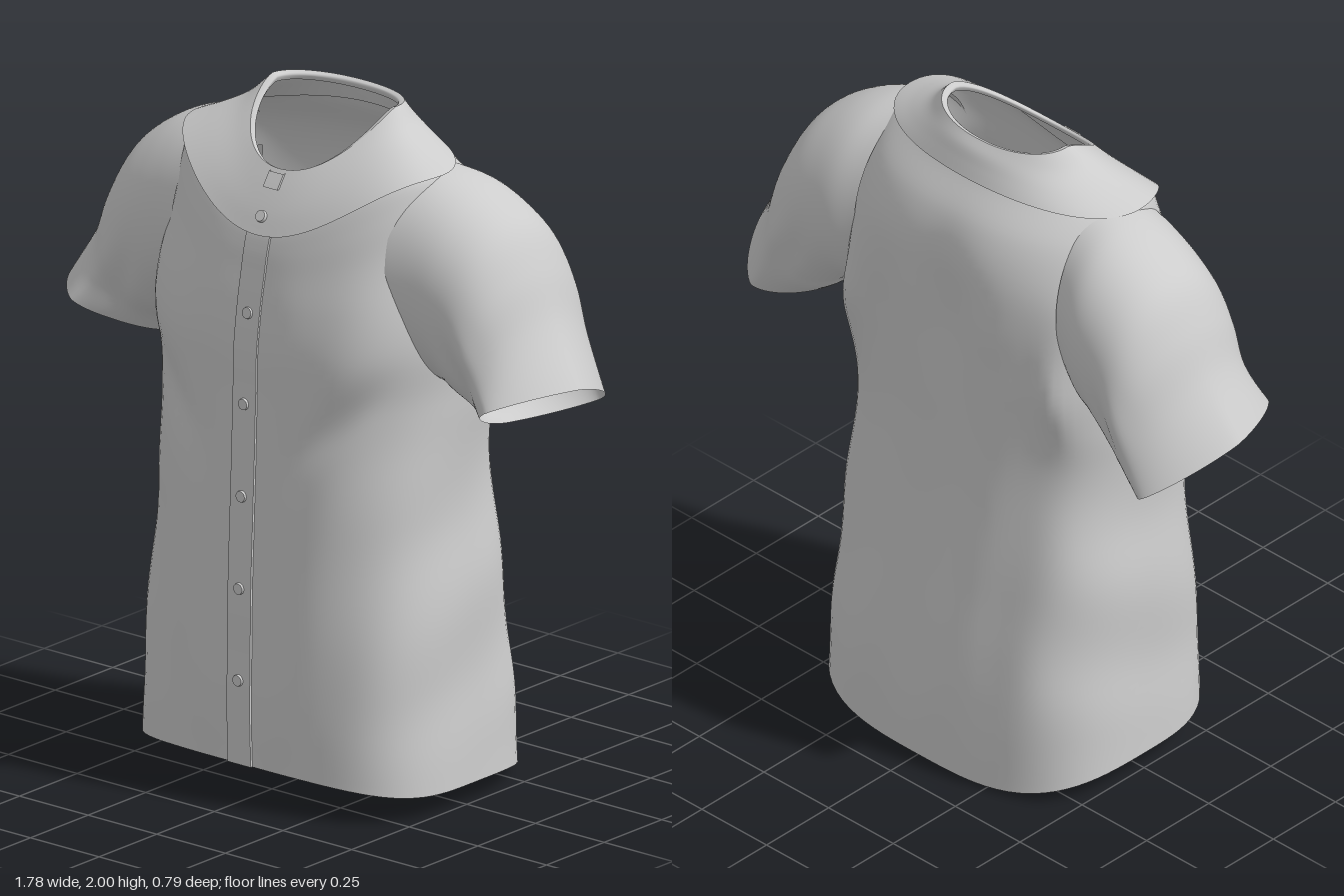
import * as THREE from 'three';

const SEG = 96;

// Torso-style ring: heights at front / side / back, half width, front and back depth,
// z of the widest point, roundness exponent n and height falloff p.
function ring([yF, yS, yB, w, zF, zB, zc = 0, n = 2.6, p = 3]) {
  const pts = [];
  for (let i = 0; i < SEG; i++) {
    const a = (i / SEG) * Math.PI * 2, s = Math.sin(a), c = Math.cos(a);
    const r = 1 / Math.pow(Math.abs(s) ** n + Math.abs(c) ** n, 1 / n);
    const k = Math.min(1, Math.abs(c * r)) ** p;
    pts.push(new THREE.Vector3(
      w * r * s,
      yS + ((c > 0 ? yF : yB) - yS) * k,
      zc + (c > 0 ? zF - zc : zc - zB) * r * c));
  }
  return pts;
}

// Smooth open-ended skin through a list of closed rings.
function loft(rings, sub, { bend = null, skip = null } = {}) {
  const rows = (rings.length - 1) * sub, pos = [], idx = [], v = [];
  const curves = rings[0].map((_, i) => new THREE.CatmullRomCurve3(rings.map(r => r[i])));
  for (let j = 0; j <= rows; j++) {
    for (const curve of curves) {
      const q = curve.getPoint(j / rows);
      if (bend) bend(q);
      v.push(q);
      pos.push(q.x, q.y, q.z);
    }
  }
  for (let j = 0; j < rows; j++) {
    for (let i = 0; i < SEG; i++) {
      const a = j * SEG + i, b = j * SEG + (i + 1) % SEG, c = a + SEG, d = b + SEG;
      if (skip && skip(v[a].clone().add(v[d]).multiplyScalar(0.5))) continue;
      idx.push(a, b, d, a, d, c);
    }
  }
  const g = new THREE.BufferGeometry();
  g.setAttribute('position', new THREE.Float32BufferAttribute(pos, 3));
  g.setIndex(idx);
  g.computeVertexNormals();
  return g;
}

const bump = (v, centre, width) => Math.exp(-(((v - centre) / width) ** 2));

// Soft cloth shape: spine and breastbone hollows, armhole folds and gentle hanging folds.
function drape(q) {
  const { x, y, z } = q, ax = Math.abs(x);
  const low = THREE.MathUtils.smoothstep(y, 0.05, 0.4) * (1 - THREE.MathUtils.smoothstep(y, 1.45, 1.7));
  if (z < 0) {
    const f = Math.min(1, -z / 0.2);
    q.z += 0.03 * bump(x, 0, 0.1) * bump(y, 1.5, 0.22);
    q.z -= 0.04 * f * bump(ax, 0.4, 0.06) * bump(y, 1.33, 0.15);
    q.z += 0.007 * low * f * Math.sin(x * 22 + y * 2);
  } else {
    const f = Math.min(1, z / 0.25);
    q.z -= 0.014 * bump(x, 0, 0.16) * bump(y, 1.4, 0.22);
    q.z -= 0.02 * f * bump(ax - (y - 1.1) * 0.7, 0.26, 0.06) * bump(y, 1.15, 0.12);
    q.z += 0.005 * low * f * (1 - bump(x, 0, 0.14)) * Math.sin(ax * 20 - y * 4);
  }
  q.x += Math.sign(x) * 0.006 * low * Math.sin(y * 13 + z * 6) * Math.min(1, ax / 0.4);
}

const TORSO = [
  [0.115, 0.07, 0.005, 0.515, 0.385, -0.39, 0, 3.2],
  [0.27, 0.24, 0.2, 0.503, 0.39, -0.388, 0, 3.2],
  [0.45, 0.44, 0.42, 0.493, 0.388, -0.368, 0, 3.1],
  [0.65, 0.65, 0.64, 0.483, 0.385, -0.342, 0, 3],
  [0.85, 0.85, 0.85, 0.466, 0.377, -0.32, 0, 3],
  [1.05, 1.05, 1.05, 0.46, 0.37, -0.31, 0, 2.9],
  [1.2, 1.2, 1.2, 0.475, 0.37, -0.31, 0, 2.8],
  [1.34, 1.36, 1.36, 0.495, 0.373, -0.316, 0, 2.7],
  [1.46, 1.53, 1.53, 0.485, 0.358, -0.324, -0.02, 2.6],
  [1.56, 1.68, 1.68, 0.465, 0.335, -0.315, -0.02, 2.4],
  [1.62, 1.79, 1.79, 0.45, 0.32, -0.275, 0, 2.2],
  [1.67, 1.86, 1.885, 0.425, 0.303, -0.205, 0.02, 2],
  [1.71, 1.885, 1.915, 0.37, 0.28, -0.188, 0.02, 2],
];

const YOKE = [
  [1.66, 1.862, 1.888, 0.445, 0.318, -0.213, 0.04, 2, 3],
  [1.72, 1.9, 1.925, 0.36, 0.288, -0.197, 0.02, 2, 2.4],
  [1.78, 1.945, 1.962, 0.28, 0.252, -0.18, 0, 2, 1.8],
  [1.83, 2, 1.99, 0.225, 0.218, -0.157, -0.02, 2.1, 1.3],
];

const NECKBAND = [
  [1.83, 2, 1.99, 0.225, 0.218, -0.157, -0.02, 2.1, 1.3],
  [1.825, 1.992, 1.982, 0.207, 0.21, -0.142, -0.02, 2.1, 1.3],
  [1.81, 1.975, 1.965, 0.213, 0.214, -0.148, -0.02, 2.1, 1.3],
];

// Sleeve sections: top x, y; bottom x, y; front z; back z; front lift; roundness.
const SLEEVE = [
  [0.37, 1.873, 0.41, 1.27, 0.225, -0.24, 0, 2],
  [0.47, 1.848, 0.46, 1.255, 0.215, -0.27, 0, 2.1],
  [0.56, 1.807, 0.505, 1.24, 0.21, -0.28, 0, 2.1],
  [0.655, 1.735, 0.54, 1.22, 0.205, -0.285, 0, 2.1],
  [0.725, 1.62, 0.57, 1.2, 0.2, -0.29, 0.01, 2],
  [0.785, 1.48, 0.59, 1.175, 0.195, -0.285, 0.025, 1.8],
  [0.89, 1.31, 0.615, 1.15, 0.225, -0.28, 0.045, 1.5],
];

function sleeveRing([tx, ty, bx, by, zF, zB, lift, n], side) {
  const pts = [];
  for (let i = 0; i < SEG; i++) {
    const a = (side * i / SEG) * Math.PI * 2;
    const r = 1 / Math.pow(Math.abs(Math.sin(a)) ** n + Math.abs(Math.cos(a)) ** n, 1 / n);
    const c = r * Math.cos(a), s = r * Math.sin(a);
    pts.push(new THREE.Vector3(
      side * ((tx + bx) / 2 + (tx - bx) / 2 * c),
      (ty + by) / 2 + (ty - by) / 2 * c + lift * s,
      (zF + zB) / 2 + (zF - zB) / 2 * s));
  }
  return pts;
}

// Front centre line of the shirt, as points running up the cloth.
function centreLine(specs, bend) {
  const curve = new THREE.CatmullRomCurve3(specs.map(r => new THREE.Vector3(0, r[0], r[4])));
  return curve.getPoints(90).map(q => { if (bend) bend(q); return q; });
}

function depthAt(line, y) {
  return line.reduce((m, q) => Math.abs(q.y - y) < Math.abs(m.y - y) ? q : m).z;
}

// Thin raised strip that follows the centre line.
function strip(line, half, lift) {
  const pos = [], idx = [];
  line.forEach((q, j) => {
    for (const [x, dz] of [[-half, -0.004], [-half, lift], [half, lift], [half, -0.004]]) pos.push(x, q.y, q.z + dz);
    if (!j) return;
    for (let i = 0; i < 3; i++) {
      const c = j * 4 + i, a = c - 4;
      idx.push(a, a + 1, c + 1, a, c + 1, c);
    }
  });
  let g = new THREE.BufferGeometry();
  g.setAttribute('position', new THREE.Float32BufferAttribute(pos, 3));
  g.setIndex(idx);
  g = g.toNonIndexed();
  g.computeVertexNormals();
  return g;
}

export function createModel() {
  const group = new THREE.Group();
  const cloth = new THREE.MeshStandardMaterial({ color: 0xcccccc, side: THREE.DoubleSide });
  cloth.name = 'light grey cloth';
  const add = (name, geometry) => {
    const m = new THREE.Mesh(geometry, cloth);
    m.name = name;
    group.add(m);
    return m;
  };

  // Body, with armholes left open inside the sleeves
  const armhole = q => Math.abs(q.x) > 0.4 && ((q.z + 0.03) / 0.18) ** 2 + ((q.y - 1.56) / 0.25) ** 2 < 1;
  add('body', loft(TORSO.map(ring), 6, { bend: drape, skip: armhole }));

  // Shoulder yoke and turned-in neckband
  add('yoke', loft(YOKE.map(ring), 6));
  add('neckband', loft(NECKBAND.map(ring), 3));

  // Sleeves, with soft creases near the underarm
  const crease = q => {
    const k = bump(q.y, 1.35, 0.12) * bump(Math.abs(q.x), 0.62, 0.08);
    q.z += Math.sign(q.z) * 0.01 * k * Math.sin(Math.abs(q.x) * 40 + q.y * 18);
  };
  for (const [name, side] of [['leftSleeve', 1], ['rightSleeve', -1]]) {
    add(name, loft(SLEEVE.map(s => sleeveRing(s, side)), 6, { bend: crease }));
  }

  // Button placket and the small tab at the throat
  const bodyLine = centreLine(TORSO, drape), yokeLine = centreLine(YOKE);
  add('placket', strip(bodyLine.filter(q => q.y < 1.67), 0.042, 0.007));
  add('throatTab', strip(yokeLine.filter(q => q.y > 1.78 && q.y < 1.822), 0.026, 0.008));

  // Buttons
  for (const y of [0.365, 0.635, 0.905, 1.175, 1.44, 1.71]) {
    const onYoke = y > 1.66;
    const b = add('button', new THREE.CylinderGeometry(0.016, 0.018, 0.012, 20));
    b.rotation.x = Math.PI / 2 - (onYoke ? 0.5 : y > 1.4 ? 0.15 : 0);
    b.position.set(0, y, depthAt(onYoke ? yokeLine : bodyLine, y) + (onYoke ? 0.004 : 0.008));
  }
  return group;
}
